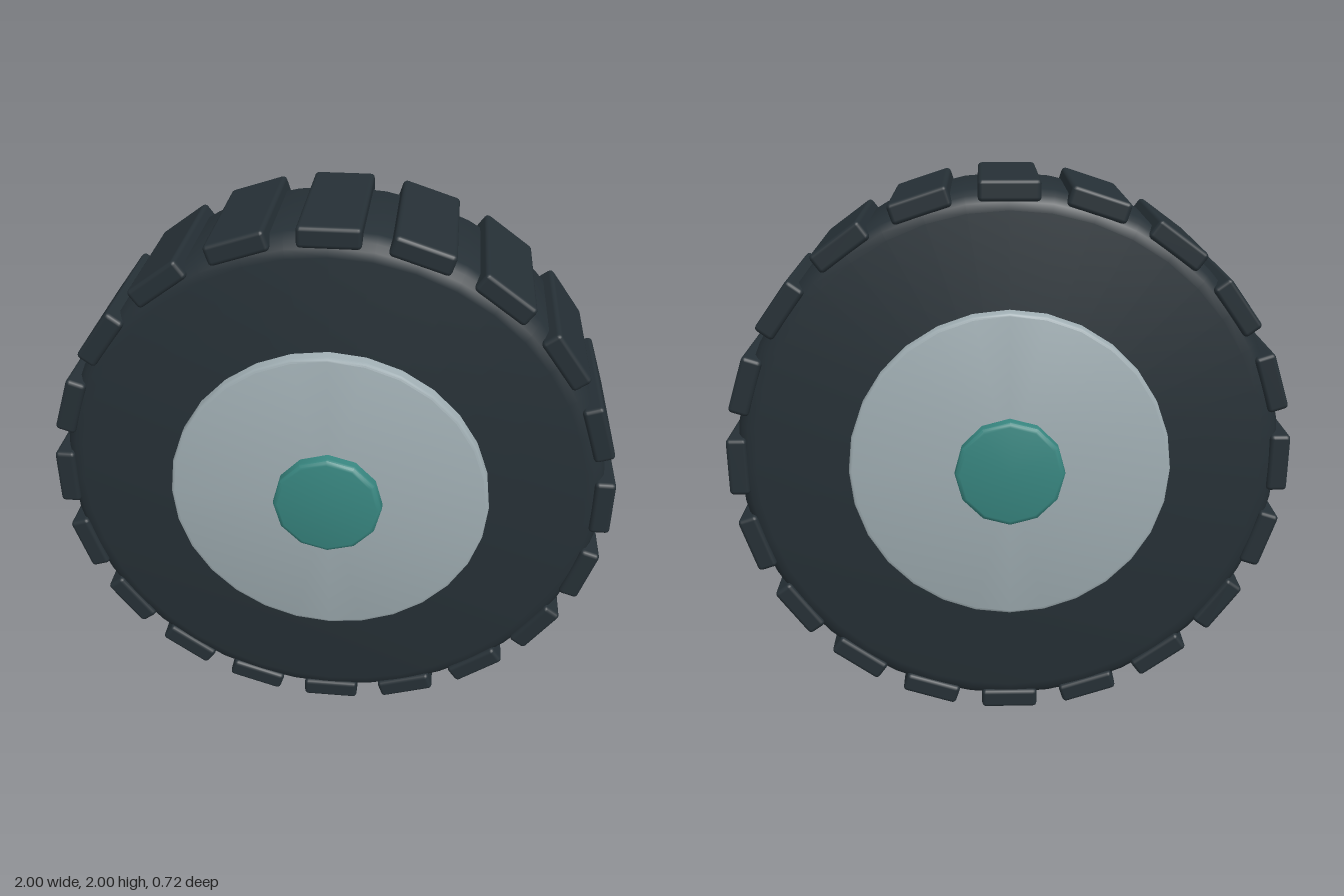
import * as THREE from 'three';
import { toCreasedNormals } from 'three/addons/utils/BufferGeometryUtils.js';
import { RoundedBoxGeometry } from 'three/addons/geometries/RoundedBoxGeometry.js';

const rubber = new THREE.MeshStandardMaterial({ color: 0x263036 });
const metal = new THREE.MeshStandardMaterial({ color: 0x9fadb2 });
const teal = new THREE.MeshStandardMaterial({ color: 0x37857f });

// Solid disc along z whose rim is turned from a half profile of [radius, z], mirrored to the back
function disc(name, half, segments, material) {
  const profile = [
    [0, -half[0][1]],
    ...half.map(([r, z]) => [r, -z]),
    ...half.slice().reverse(),
    [0, half[0][1]],
  ].map(([r, z]) => new THREE.Vector2(r, z));
  const geometry = toCreasedNormals(new THREE.LatheGeometry(profile, segments), 0.6);
  geometry.rotateX(Math.PI / 2);
  const mesh = new THREE.Mesh(geometry, material);
  mesh.name = name;
  return mesh;
}

// Rim points for a flat-faced disc with a small rounded edge
function roundedRim(radius, halfDepth, bevel) {
  const points = [];
  for (let i = 0; i <= 3; i++) {
    const a = (i / 3) * Math.PI / 2;
    points.push([radius - bevel * (1 - Math.sin(a)), halfDepth - bevel * (1 - Math.cos(a))]);
  }
  return points;
}

export function createModel() {
  const wheel = new THREE.Group();
  wheel.name = 'wheel';
  wheel.position.y = 1;

  // Tyre body with rounded shoulders, hub disc and axle cap
  const shoulder = [[0.9, 0.265], [0.93, 0.258], [0.953, 0.238], [0.97, 0.2]];
  wheel.add(disc('tyre', shoulder, 40, rubber));
  wheel.add(disc('hub', roundedRim(0.567, 0.315, 0.012), 28, metal));
  wheel.add(disc('axleCap', roundedRim(0.194, 0.36, 0.018), 12, teal));

  // Tread blocks around the rim
  const treads = new THREE.Group();
  treads.name = 'treads';
  const block = new RoundedBoxGeometry(0.21, 0.073, 0.54, 2, 0.015);
  const count = 20;
  for (let i = 0; i < count; i++) {
    const a = (i / count) * Math.PI * 2;
    const tread = new THREE.Mesh(block, rubber);
    tread.name = 'treadBlock';
    tread.position.set(Math.sin(a) * 0.9635, Math.cos(a) * 0.9635, 0);
    tread.rotation.z = -a;
    treads.add(tread);
  }
  wheel.add(treads);

  const model = new THREE.Group();
  model.name = 'treadedWheel';
  model.add(wheel);
  return model;
}
